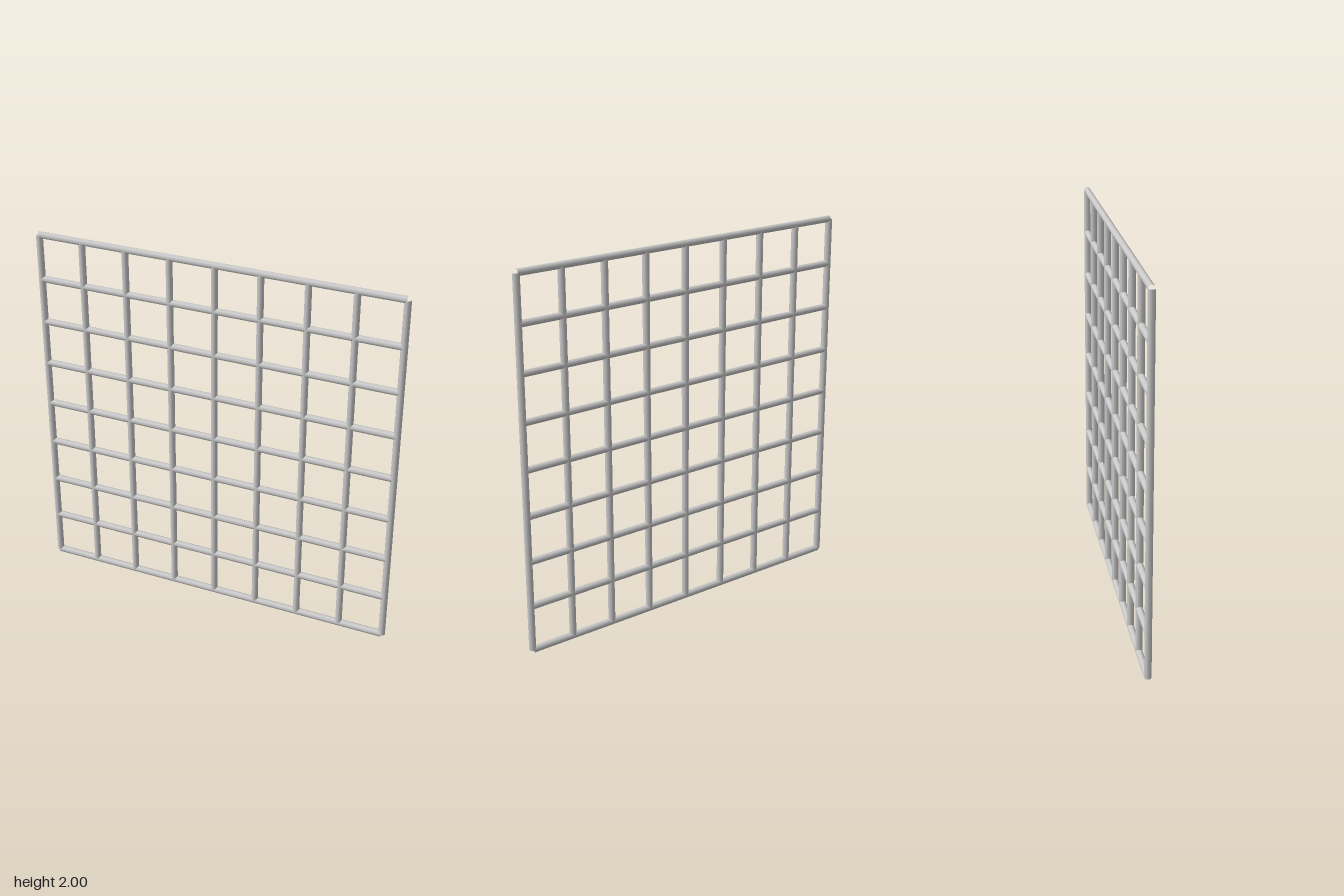
import * as THREE from 'three';

const RADIUS = 0.0185;
const SPAN = 2 - 2 * RADIUS; // distance between the outermost bar axes
const CELLS = 8;

export function createModel() {
  const model = new THREE.Group();
  model.name = 'wireGrid';
  const material = new THREE.MeshStandardMaterial({ color: 0xcccccc });

  // One open-ended tube shared by every bar
  const tube = new THREE.CylinderGeometry(RADIUS, RADIUS, SPAN, 8, 1, true);

  const verticals = new THREE.Group();
  verticals.name = 'verticalBars';
  const horizontals = new THREE.Group();
  horizontals.name = 'horizontalBars';

  for (let i = 0; i <= CELLS; i++) {
    const offset = (i / CELLS - 0.5) * SPAN;

    // Upright bar
    const upright = new THREE.Mesh(tube, material);
    upright.name = `verticalBar${i + 1}`;
    upright.position.set(offset, 1, 0);
    verticals.add(upright);

    // Cross bar
    const cross = new THREE.Mesh(tube, material);
    cross.name = `horizontalBar${i + 1}`;
    cross.rotation.z = Math.PI / 2;
    cross.position.set(0, 1 + offset, 0);
    horizontals.add(cross);
  }

  model.add(verticals, horizontals);
  return model;
}
